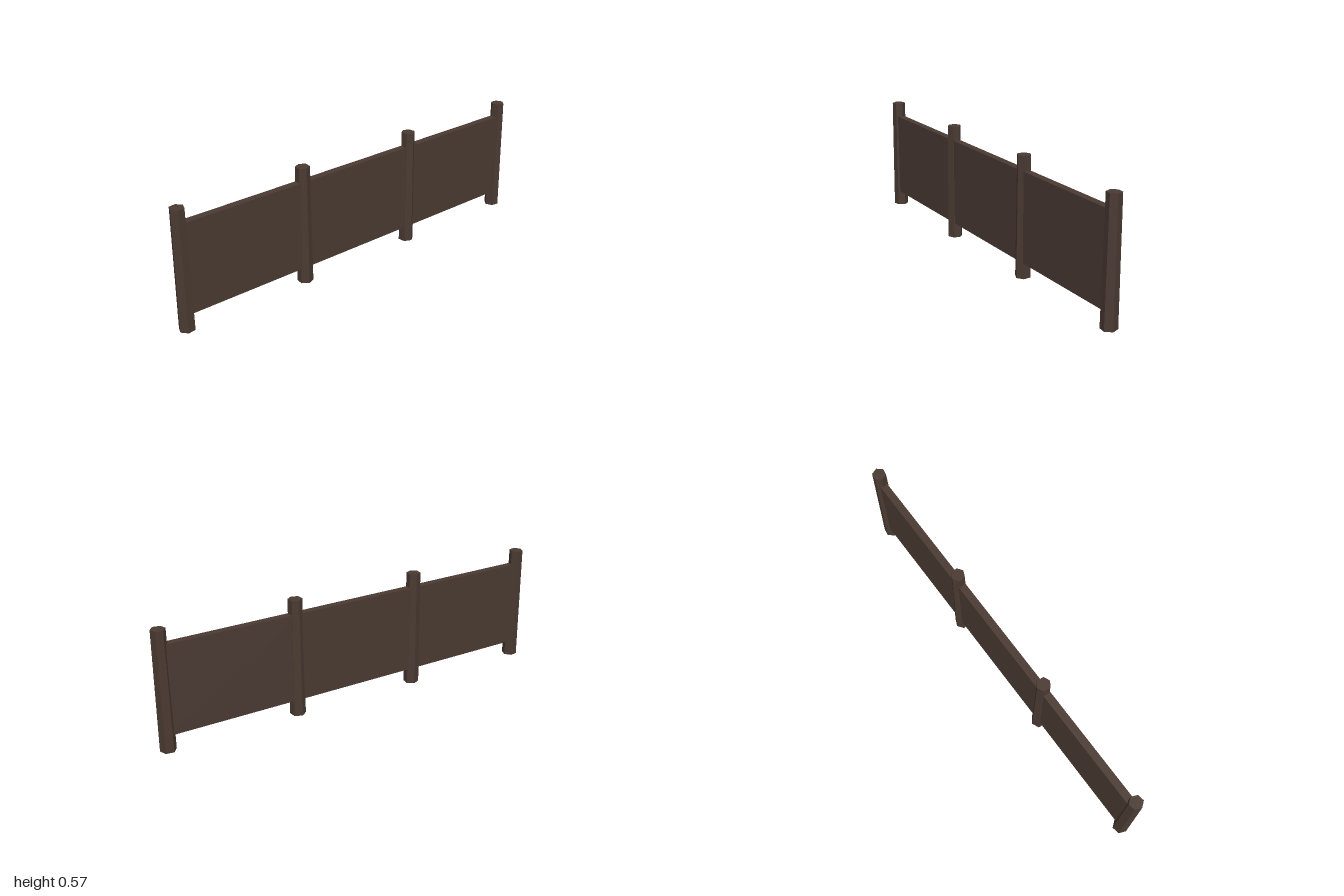
import * as THREE from 'three';

export function createModel() {
  const fence = new THREE.Group();
  fence.name = 'fence';
  const wood = new THREE.MeshStandardMaterial({ color: 0x4a3a32 });
  wood.name = 'dark wood';

  // Tapered six-sided posts, each turned a little differently
  const postHeight = 0.57;
  const posts = [[-0.963, -21.5], [-0.324, -6], [0.32, 6], [0.963, 21.5]];
  posts.forEach(([x, turn], i) => {
    const geometry = new THREE.CylinderGeometry(
      0.033, 0.037, postHeight, 6, 1, false, THREE.MathUtils.degToRad(turn)
    ).toNonIndexed();
    geometry.computeVertexNormals();
    const post = new THREE.Mesh(geometry, wood);
    post.name = `post${i + 1}`;
    post.position.set(x, postHeight / 2, 0);
    fence.add(post);
  });

  // Solid panels between neighbouring posts
  const bottom = 0.075, top = 0.5;
  for (let i = 0; i < posts.length - 1; i++) {
    const x0 = posts[i][0], x1 = posts[i + 1][0];
    const panel = new THREE.Mesh(new THREE.BoxGeometry(x1 - x0, top - bottom, 0.036), wood);
    panel.name = `panel${i + 1}`;
    panel.position.set((x0 + x1) / 2, (top + bottom) / 2, 0);
    fence.add(panel);
  }
  return fence;
}
